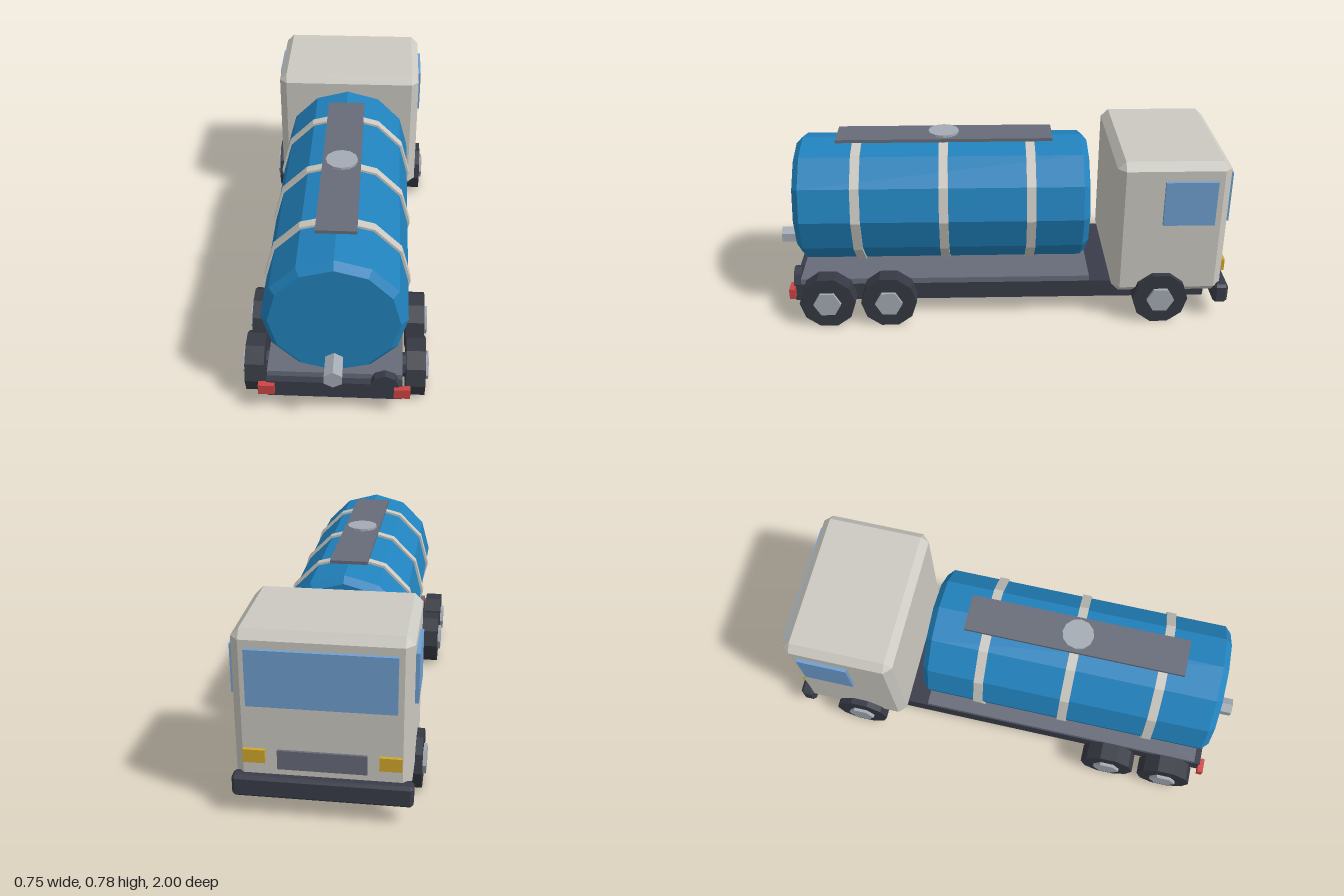
import * as THREE from 'three';
import { ConvexGeometry } from 'three/addons/geometries/ConvexGeometry.js';

const mat = (name, color) => {
  const m = new THREE.MeshStandardMaterial({ color, flatShading: true });
  m.name = name;
  return m;
};

export function createModel() {
  const group = new THREE.Group();
  group.name = 'tankerTruck';
  const paint = mat('cabPaint', 0xcbc9c1);
  const blue = mat('tankBlue', 0x2182bd);
  const dark = mat('chassisDark', 0x393d49);
  const rubber = mat('tyreRubber', 0x363943);
  const grey = mat('deckGrey', 0x676c79);
  const metal = mat('lightMetal', 0xa4abb4);
  const glass = mat('windowGlass', 0x6f9fd0);
  const red = mat('tailLightRed', 0xcc4444);
  const yellow = mat('headlightYellow', 0xd0a82c);

  const add = (name, geometry, material) => {
    const mesh = new THREE.Mesh(geometry, material);
    mesh.name = name;
    group.add(mesh);
    return mesh;
  };

  // Box given by its limits on each axis
  const box = (name, material, [x0, x1], [y0, y1], [z0, z1]) =>
    add(name, new THREE.BoxGeometry(x1 - x0, y1 - y0, z1 - z0)
      .translate((x0 + x1) / 2, (y0 + y1) / 2, (z0 + z1) / 2), material);

  // Box with every edge cut by a flat chamfer c
  const chamferBox = (name, material, [x0, x1], [y0, y1], [z0, z1], c) => {
    const h = [(x1 - x0) / 2, (y1 - y0) / 2, (z1 - z0) / 2];
    const points = [];
    for (const sx of [-1, 1]) for (const sy of [-1, 1]) for (const sz of [-1, 1])
      for (let axis = 0; axis < 3; axis++) {
        const p = h.map((v, i) => (i === axis ? v : v - c));
        points.push(new THREE.Vector3(sx * p[0], sy * p[1], sz * p[2]));
      }
    const g = new ConvexGeometry(points);
    g.translate((x0 + x1) / 2, (y0 + y1) / 2, (z0 + z1) / 2);
    return add(name, g, material);
  };

  // Cylinder along z and cylinder along x
  const rodZ = (name, material, r, z0, z1, sides, x, y) =>
    add(name, new THREE.CylinderGeometry(r, r, z1 - z0, sides).rotateX(Math.PI / 2)
      .translate(x, y, (z0 + z1) / 2), material);
  const rodX = (name, material, r, x0, x1, sides, y, z) =>
    add(name, new THREE.CylinderGeometry(r, r, x1 - x0, sides).rotateZ(Math.PI / 2)
      .translate((x0 + x1) / 2, y, z), material);

  // Chassis and deck
  box('chassis', dark, [-0.27, 0.27], [0.077, 0.157], [-0.905, 0.915]);
  box('deck', grey, [-0.27, 0.27], [0.157, 0.183], [-0.39, 0.885]);
  rodZ('rearCanister', dark, 0.057, 0.885, 0.92, 8, 0.2, 0.152);

  // Tank with chamfered ends
  const tankY = 0.467;
  const profile = [[0, -0.385], [0.255, -0.385], [0.283, -0.357],
    [0.283, 0.867], [0.255, 0.895], [0, 0.895]].map(p => new THREE.Vector2(...p));
  add('tank', new THREE.LatheGeometry(profile, 12).rotateX(Math.PI / 2)
    .translate(0, tankY, 0), blue);
  for (const z of [-0.13, 0.247, 0.625])
    rodZ('tankBand', paint, 0.293, z - 0.02, z + 0.02, 12, 0, tankY);

  // Walkway, hatch and drain valve
  box('walkway', grey, [-0.08, 0.08], [0.752, 0.766], [-0.228, 0.715]);
  add('hatch', new THREE.CylinderGeometry(0.067, 0.067, 0.034, 12)
    .translate(0, 0.76, 0.247), metal);
  rodZ('drainValve', metal, 0.04, 0.88, 1, 6, 0, 0.265);

  // Cab
  chamferBox('cab', paint, [-0.335, 0.335], [0.127, 0.75], [-0.965, -0.485], 0.033);
  chamferBox('bumper', dark, [-0.345, 0.345], [0.077, 0.167], [-1, -0.937], 0.012);
  box('windshield', glass, [-0.28, 0.28], [0.458, 0.685], [-0.98, -0.963]);
  box('grille', grey, [-0.17, 0.17], [0.195, 0.275], [-0.975, -0.963]);

  // Mirrored parts
  for (const s of [-1, 1]) {
    const span = (a, b) => (s > 0 ? [a, b] : [-b, -a]);
    box('sideWindow', glass, span(0.333, 0.35), [0.472, 0.672], [-0.904, -0.684]);
    box('headlight', yellow, span(0.215, 0.3), [0.22, 0.275], [-0.98, -0.963]);
    box('tailLight', red, span(0.237, 0.302), [0.103, 0.15], [0.91, 0.935]);
    for (const z of [-0.695, 0.493, 0.76]) {
      rodX('wheel', rubber, 0.1215, ...span(0.285, 0.363), 10, 0.1156, z);
      rodX('hub', metal, 0.06, ...span(0.35, 0.377), 6, 0.1156, z);
    }
  }

  // Axles
  for (const z of [-0.695, 0.493, 0.76])
    rodX('axle', dark, 0.05, -0.29, 0.29, 8, 0.1156, z);

  return group;
}
